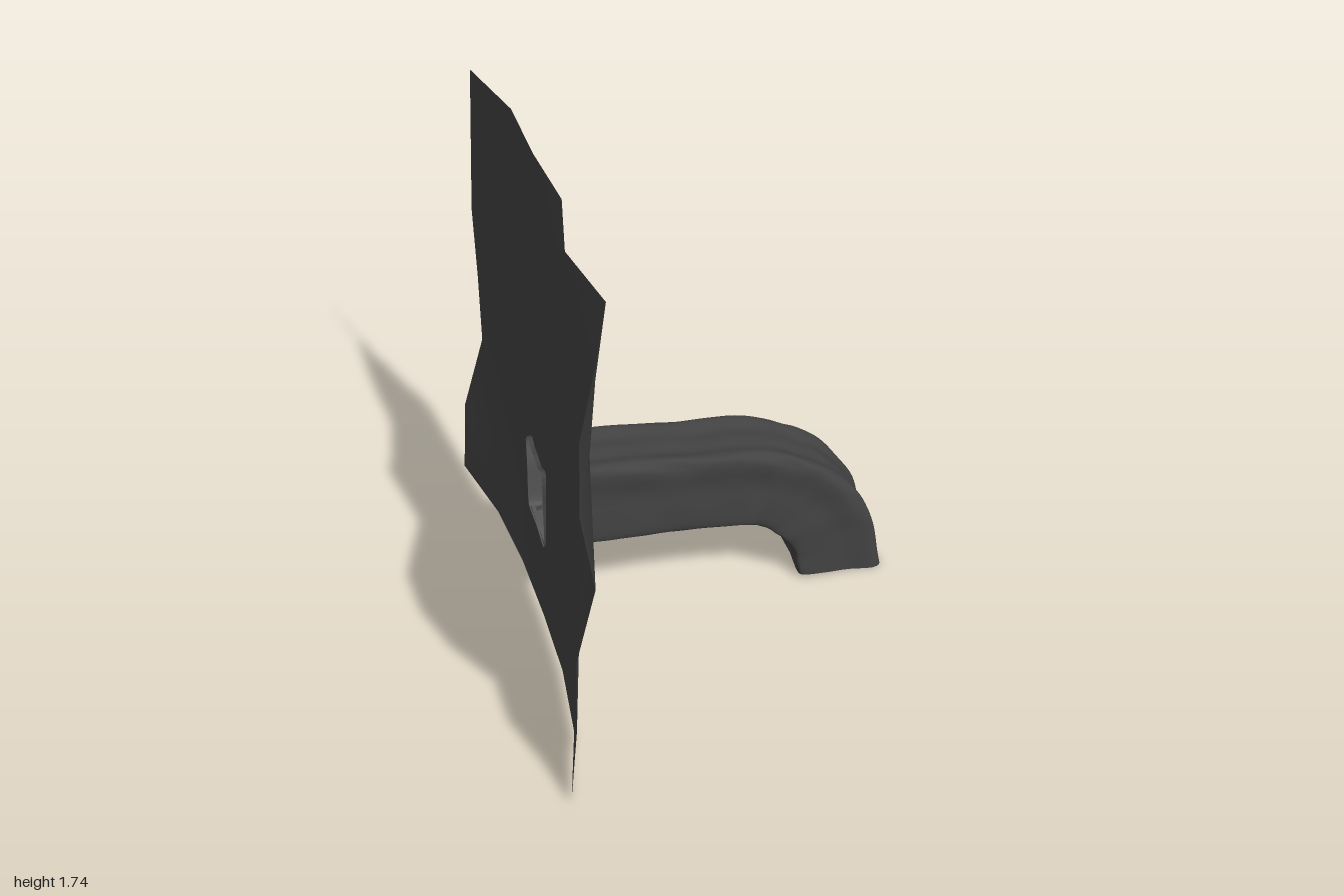
import * as THREE from 'three';

const V = (x, y, z = 0) => new THREE.Vector3(x, y, z);

// Surface from a grid of points; skip(r, c) leaves a cell open
function gridSurface(rows, cols, point, skip = () => false) {
  const pos = [], index = [];
  for (let r = 0; r <= rows; r++)
    for (let c = 0; c <= cols; c++) pos.push(...point(r, c).toArray());
  for (let r = 0; r < rows; r++)
    for (let c = 0; c < cols; c++) {
      if (skip(r, c)) continue;
      const a = r * (cols + 1) + c, d = a + cols + 1;
      index.push(a, a + 1, d + 1, a, d + 1, d);
    }
  const g = new THREE.BufferGeometry();
  g.setAttribute('position', new THREE.Float32BufferAttribute(pos, 3));
  g.setIndex(index);
  g.computeVertexNormals();
  return g;
}

function material(name, color) {
  const m = new THREE.MeshStandardMaterial({ color, side: THREE.DoubleSide });
  m.name = name;
  return m;
}

export function createModel() {
  const group = new THREE.Group();
  const dark = material('dark grey', 0x424242);
  const lining = material('lining grey', 0x565656);
  const add = (name, geometry, mat) => {
    const mesh = new THREE.Mesh(geometry, mat);
    mesh.name = name;
    group.add(mesh);
    return mesh;
  };

  // Wavy wall: x offset per grid point, rows from the bottom up, columns from z = 1 to -1
  const bulge = [
    [-.70, -.62, -.59, -.59, -.60, -.63, -.70],
    [-.675, -.60, -.585, -.57, -.57, -.60, -.685],
    [-.67, -.585, -.58, -.56, -.56, -.575, -.605],
    [-.60, -.555, -.565, -.53, -.535, -.545, -.61],
    [-.645, -.54, -.56, -.53, -.53, -.535, -.62],
    [-.64, -.515, -.55, -.515, -.52, -.525, -.61],
    [-.58, -.475, -.535, -.475, -.505, -.515, -.60],
  ];
  add('wall', gridSurface(6, 6, (r, c) => {
    const p = V(bulge[r][c], 0.025 + r * 0.2867, 1 - c / 3);
    // The open cell closes in on the pipe
    if ((r === 1 || r === 2) && (c === 3 || c === 4)) p.z = c === 3 ? -0.018 : -0.3;
    return p;
  }, (r, c) => r === 1 && c === 3), dark);

  // Pipe guide curves along its underside and its top
  const under = new THREE.CatmullRomCurve3([
    V(-.575, .305), V(-.3, .30), V(-.05, .29), V(.16, .28), V(.25, .25),
    V(.32, .19), V(.365, .11), V(.38, .02)]);
  const over = new THREE.CatmullRomCurve3([
    V(-.575, .625), V(-.3, .618), V(-.03, .597), V(.23, .578), V(.40, .515),
    V(.53, .425), V(.65, .25), V(.70, .002)]);

  // Squarish section: x runs from underside (0) to top (1), y across the width
  const section = new THREE.CatmullRomCurve3([
    V(0, .44), V(0, .2), V(.01, 0), V(0, -.2), V(0, -.44), V(.03, -.49),
    V(.3, -.5), V(.6, -.48), V(.88, -.5), V(.97, -.46), V(1, -.38), V(.96, -.2),
    V(.97, 0), V(.96, .2), V(1, .38), V(.97, .46), V(.88, .5), V(.6, .48),
    V(.3, .5), V(.03, .49)], true);
  const around = 80, along = 80;
  // Gentle unevenness in patches along and around the pipe
  const lump = (s, q) => 0.6 * Math.sin(s * 23 + 4 * Math.sin(q * 12.57))
    + 0.4 * Math.sin(s * 47 + 2) * Math.cos(q * 44);
  const pipe = (scale) => gridSurface(along, around, (r, c) => {
    const s = r / along, q = (c % around) / around;
    const p = section.getPoint(q);
    const size = scale * (1 + 0.022 * lump(s, q) * Math.min(1, (1 - s) * 8));
    const point = under.getPoint(s).lerp(over.getPoint(s), 0.5 + (p.x - 0.5) * size);
    point.z = -0.15 - 0.01 * (1 - s) + p.y * size * 0.295;
    return point;
  });
  add('pipeOutside', pipe(1), dark);
  add('pipeLining', pipe(0.975), lining);

  // Small lip under the pipe at the wall
  add('lip', new THREE.BoxGeometry(0.05, 0.025, 0.27), dark).position.set(-0.53, 0.295, -0.155);
  return group;
}
